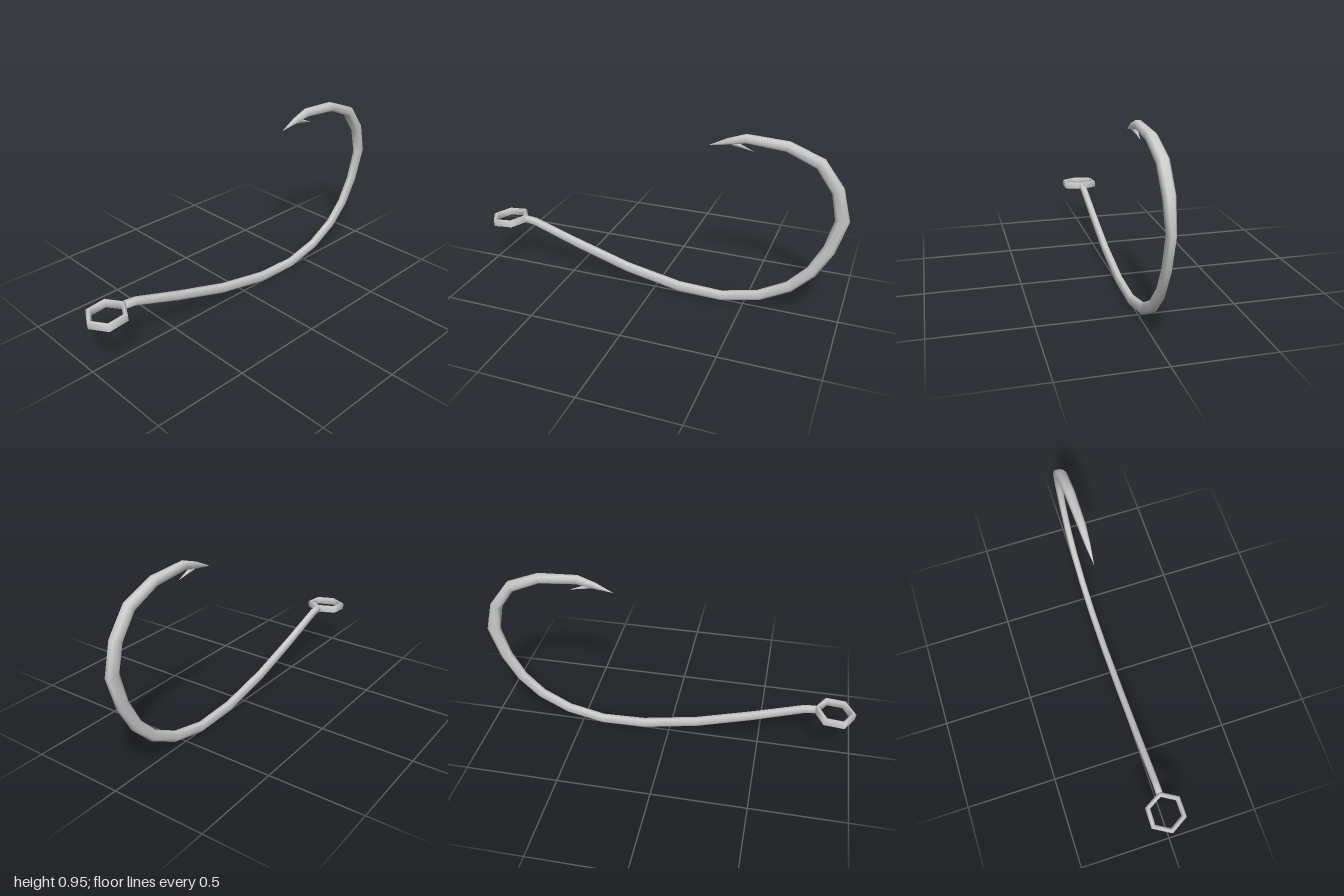
import * as THREE from 'three';

const steel = new THREE.MeshStandardMaterial({ color: 0xcccccc });

// Centre line and thickness of the wire: [z, y, half width in x, half depth in the bend plane]
const wire = [
  [0.79, 0.284, 0.0176, 0.019], [0.73, 0.277, 0.0176, 0.02], [0.46, 0.185, 0.0176, 0.023],
  [0.16, 0.093, 0.0176, 0.025], [-0.14, 0.034, 0.0176, 0.026], [-0.38, 0.027, 0.0176, 0.025],
  [-0.58, 0.073, 0.0176, 0.026], [-0.735, 0.158, 0.0176, 0.027], [-0.84, 0.267, 0.0176, 0.029],
  [-0.915, 0.405, 0.0176, 0.031], [-0.963, 0.573, 0.0185, 0.034], [-0.927, 0.725, 0.026, 0.029],
  [-0.835, 0.85, 0.027, 0.027], [-0.675, 0.916, 0.026, 0.023], [-0.47, 0.93, 0.02, 0.021],
  [-0.38, 0.905, 0.013, 0.015], [-0.285, 0.874, 0.0005, 0.0005],
];

// Eight-sided section, flattened on all four sides
const section = [[1, -0.5], [1, 0.5], [0.55, 1], [-0.55, 1], [-1, 0.5], [-1, -0.5], [-0.55, -1], [0.55, -1]];

function sweepWire(rows) {
  const pos = [], index = [], n = section.length;
  const dir = (a, b) => new THREE.Vector2(b[0] - a[0], b[1] - a[1]).normalize();
  rows.forEach((row, i) => {
    const t = new THREE.Vector2();
    if (i > 0) t.add(dir(rows[i - 1], row));
    if (i < rows.length - 1) t.add(dir(row, rows[i + 1]));
    t.normalize();
    const [z, y, w, h] = row;
    for (const [a, b] of section) pos.push(a * w, y - t.x * b * h, z + t.y * b * h);
  });
  for (let i = 0; i < rows.length - 1; i++) {
    for (let j = 0; j < n; j++) {
      const a = i * n + j, b = i * n + (j + 1) % n;
      index.push(a, a + n, b + n, a, b + n, b);
    }
  }
  // Cap at the eye end
  for (let j = 1; j < n - 1; j++) index.push(0, j, j + 1);
  const geo = new THREE.BufferGeometry();
  geo.setAttribute('position', new THREE.Float32BufferAttribute(pos, 3));
  geo.setIndex(index);
  geo.computeVertexNormals();
  return geo;
}

export function createModel() {
  const group = new THREE.Group();
  const add = (name, geo) => {
    const mesh = new THREE.Mesh(geo, steel);
    mesh.name = name;
    group.add(mesh);
    return mesh;
  };

  // Shank, bend and point in one tapering sweep
  add('hookWire', sweepWire(wire));

  // Six-sided eye, tipped slightly down toward the front
  const profile = [[0.109, -0.016], [0.109, 0.016], [0.096, 0.022], [0.083, 0.016],
    [0.083, -0.016], [0.096, -0.022], [0.109, -0.016]].map(([r, y]) => new THREE.Vector2(r, y));
  const eye = add('eye', new THREE.LatheGeometry(profile, 6));
  eye.position.set(0, 0.275, 0.891);
  eye.rotation.x = 0.09;

  // Barb cut from the underside of the point, aimed back into the bend
  const from = new THREE.Vector3(0, 0.9, -0.405);
  const to = new THREE.Vector3(0, 0.868, -0.512);
  const axis = to.clone().sub(from);
  const barbGeo = new THREE.ConeGeometry(0.014, axis.length(), 6);
  const barb = add('barb', barbGeo);
  barb.position.copy(from).add(to).multiplyScalar(0.5);
  barb.quaternion.setFromUnitVectors(new THREE.Vector3(0, 1, 0), axis.normalize());

  return group;
}
